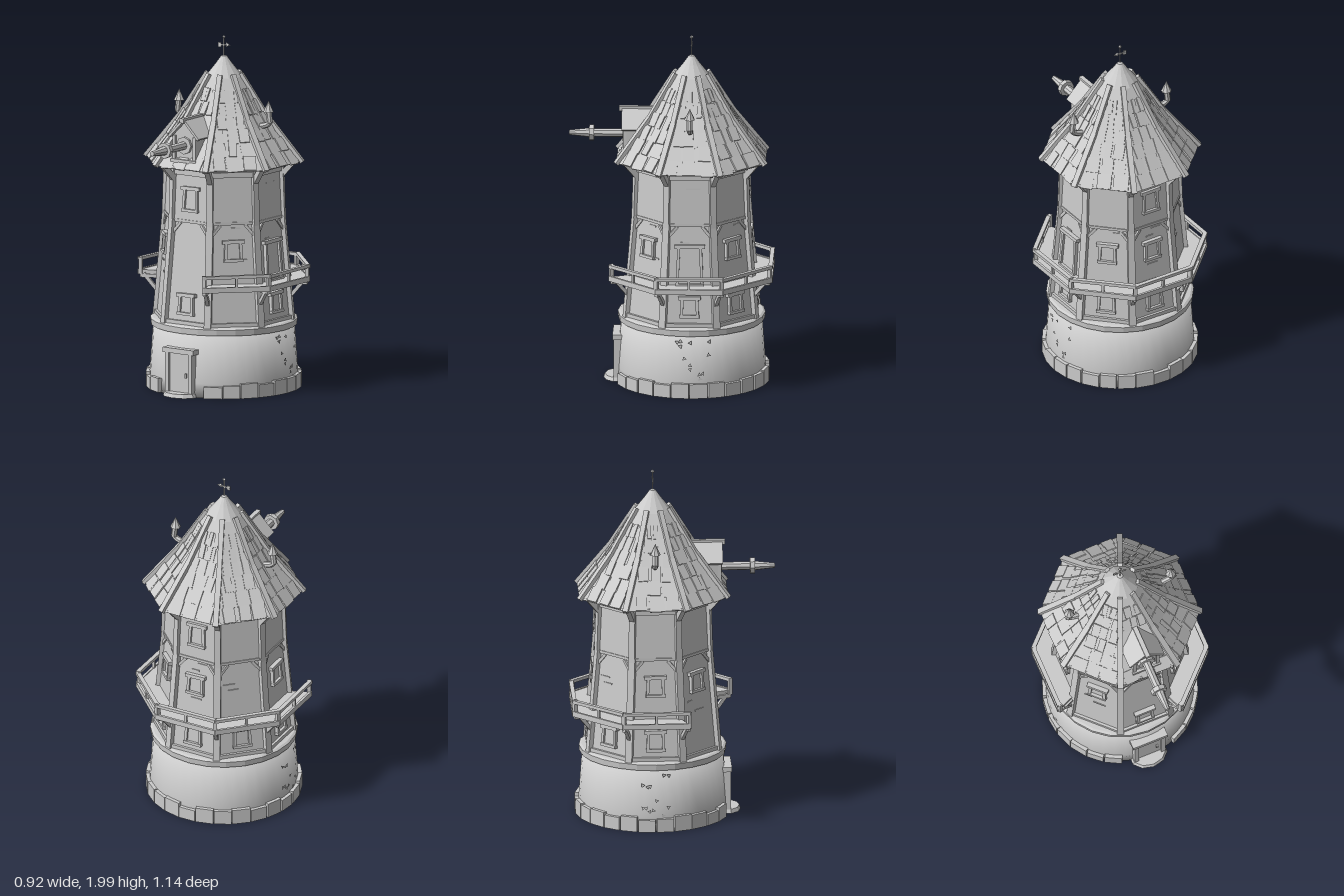
import * as THREE from 'three';

const grey = new THREE.MeshStandardMaterial({ color: 0xcccccc, flatShading: true, side: THREE.DoubleSide });
const smooth = new THREE.MeshStandardMaterial({ color: 0xcccccc, side: THREE.DoubleSide });
const V = (x, y, z) => new THREE.Vector3(x, y, z);
const STEP = Math.PI / 4, TAN = Math.tan(Math.PI / 8), COS = Math.cos(Math.PI / 8);

let seed = 7;
const rnd = (a = 0, b = 1) => {
  seed = (seed * 16807) % 2147483647;
  return a + (b - a) * seed / 2147483647;
};

function add(parent, name, geo, x = 0, y = 0, z = 0, mat = grey) {
  const m = new THREE.Mesh(geo, mat);
  m.name = name;
  m.position.set(x, y, z);
  parent.add(m);
  return m;
}
const box = (parent, name, w, h, d, x, y, z) => add(parent, name, new THREE.BoxGeometry(w, h, d), x, y, z);

// Rectangular timber running from p to q
function beam(parent, name, p, q, w, h = w) {
  const m = box(parent, name, w, h, p.distanceTo(q), 0, 0, 0);
  m.position.copy(p).lerp(q, 0.5);
  m.quaternion.setFromRotationMatrix(new THREE.Matrix4().lookAt(q, p, V(0, 1, 0)));
  return m;
}

// Eight-sided shell from [apothem, y] pairs, a flat side facing front
function octagon(parent, name, profile) {
  const pts = profile.map(([a, y]) => new THREE.Vector2(a / COS, y));
  return add(parent, name, new THREE.LatheGeometry(pts, 8, Math.PI / 8));
}

function turned(parent, name, profile, sides, mat) {
  const pts = profile.map(([r, y]) => new THREE.Vector2(r, y));
  return add(parent, name, new THREE.LatheGeometry(pts, sides), 0, 0, 0, mat);
}

// Group turned to side k of the octagon, local +z pointing outward
function side(parent, name, k) {
  const g = new THREE.Group();
  g.name = name;
  g.rotation.y = k * STEP;
  parent.add(g);
  return g;
}

// Wall distance from the axis at height y
const wall = y => (y < 0.98 ? 0.36 - 0.05 * (y - 0.4) / 0.58 : 0.31 - 0.01 * (y - 0.98) / 0.32);

function framedOpening(parent, name, y, w, h) {
  const g = new THREE.Group();
  g.name = name;
  g.position.set(0, y, wall(y));
  g.rotation.x = -0.07;
  parent.add(g);
  box(g, 'panel', w, h, 0.012, 0, 0, 0);
  for (const s of [-1, 1]) box(g, 'jamb', 0.016, h, 0.03, s * w / 2, 0, 0.004).rotation.z = s * 0.04;
  box(g, 'lintel', w + 0.04, 0.02, 0.036, 0, h / 2, 0.006).rotation.z = 0.02;
  box(g, 'sill', w + 0.025, 0.016, 0.034, 0, -h / 2, 0.006);
}

function buildBase(t) {
  turned(t, 'stoneBase', [[0, 0.01], [0.42, 0.01], [0.415, 0.09], [0.395, 0.37], [0, 0.4]], 40, smooth);
  turned(t, 'baseRim', [[0.39, 0.36], [0.41, 0.363], [0.413, 0.397], [0.4, 0.405], [0.33, 0.41]], 24, grey);
  // Uneven footing stones
  for (let i = 0; i < 26; i++) {
    const a = i / 26 * Math.PI * 2;
    if (Math.cos(a) > 0.96) continue;
    const h = rnd(0.065, 0.09);
    const stone = box(t, 'footingStone', rnd(0.09, 0.105), h, 0.04, Math.sin(a) * 0.414, 0.01 + h / 2, Math.cos(a) * 0.414);
    stone.rotation.y = a;
  }
  // Climbing leaves on both flanks
  for (let i = 0; i < 24; i++) {
    const a = (i % 2 ? 1 : -1) * rnd(1.4, 1.9);
    const leaf = add(t, 'leaf', new THREE.CircleGeometry(0.014, 3), Math.sin(a) * 0.42, rnd(0.08, 0.36), Math.cos(a) * 0.42);
    leaf.rotation.set(rnd(-0.5, 0.5), a, rnd(0, 3));
  }
  // Front door and its step
  box(t, 'doorPanel', 0.14, 0.25, 0.03, 0, 0.14, 0.405);
  for (const s of [-1, 1]) box(t, 'doorPost', 0.025, 0.25, 0.05, s * 0.08, 0.14, 0.41);
  box(t, 'doorLintel', 0.21, 0.028, 0.06, 0, 0.267, 0.41);
  box(t, 'doorHandle', 0.01, 0.025, 0.015, 0.045, 0.13, 0.425);
  const step = add(t, 'doorStep', new THREE.CylinderGeometry(0.1, 0.11, 0.022, 10), 0, 0.021, 0.41);
  step.scale.z = 0.75;
}

function buildTower(t) {
  octagon(t, 'towerWall', [[0.36, 0.39], [0.31, 0.98], [0.316, 0.985], [0.3, 1.36]]);
  const openings = [[0.52, 1.11], [0.83], [0.52], [0.52, 0.83], [0.52, 0.83, 1.14], [0.52], [0.52, 0.83], [0.83]];
  openings.forEach((heights, k) => {
    const f = side(t, 'wallSide', k);
    for (const y of heights) framedOpening(f, 'window', y, 0.085, y > 1 ? 0.125 : 0.105);
    if (k === 2) framedOpening(f, 'balconyDoor', 0.755, 0.13, 0.22);
    // Trim boards and small braces
    box(f, 'sillBeam', 0.29, 0.025, 0.025, 0, 0.415, wall(0.415));
    box(f, 'middleBeam', 0.25, 0.016, 0.02, 0, 0.985, 0.31);
    box(f, 'topBeam', 0.25, 0.03, 0.03, 0, 1.26, 0.302);
    for (const s of [-1, 1]) beam(f, 'brace', V(s * 0.125, 0.91, 0.318), V(s * 0.07, 0.975, 0.312), 0.016);
    for (let i = 0; i < 3; i++) {
      const y = rnd(0.65, 1.2);
      box(f, 'looseBoard', rnd(0.04, 0.08), 0.008, 0.008, rnd(-0.07, 0.07), y, wall(y));
    }
    // Corner post with a flared bracket under the eaves
    const c = side(t, 'cornerPost', k + 0.5);
    beam(c, 'lowerPost', V(0, 0.4, 0.36 / COS), V(0, 0.99, 0.31 / COS), 0.04, 0.03);
    beam(c, 'upperPost', V(0, 0.97, 0.312 / COS), V(0, 1.3, 0.302 / COS), 0.035, 0.03);
    beam(c, 'eaveBracket', V(0, 1.21, 0.325), V(0, 1.305, 0.405), 0.03);
  });
}

function buildBalcony(t) {
  const inner = 0.33, outer = 0.455;
  const plan = new THREE.Shape([[inner, -1], [outer, -1], [outer, 1], [inner, 1]]
    .map(([a, s]) => new THREE.Vector2(s * a * TAN, -a)));
  const deck = new THREE.ExtrudeGeometry(plan, { depth: 0.022, bevelEnabled: false });
  deck.rotateX(-Math.PI / 2);
  for (let k = 1; k <= 6; k++) {
    const f = side(t, 'balconySide', k);
    add(f, 'deck', deck, 0, 0.622, 0);
    box(f, 'deckEdge', outer * 2 * TAN, 0.03, 0.014, 0, 0.634, outer - 0.004);
    beam(f, 'handrail', V(-0.188, 0.704, 0.447), V(0.188, 0.708, 0.447), 0.024, 0.018);
    beam(f, 'railPost', V(0, 0.64, 0.447), V(0, 0.7, 0.447), 0.014);
  }
  for (let k = 0.5; k <= 6.5; k++) {
    const c = side(t, 'balconyCorner', k);
    beam(c, 'railPost', V(0, 0.62, 0.478), V(0, 0.715, 0.478), 0.022);
    beam(c, 'strut', V(0, 0.53, 0.38), V(0, 0.625, 0.46), 0.02);
    beam(c, 'joist', V(0, 0.612, 0.36), V(0, 0.612, 0.48), 0.02);
  }
}

function buildRoof(t) {
  const slope = u => [THREE.MathUtils.lerp(0.41, 0.09, u) - 0.018 * Math.sin(Math.PI * u), 1.3 + 0.48 * u];
  // Overlapping courses of boards, with odd raised shingles
  const rows = 7;
  for (let i = 0; i < rows; i++) {
    const [a0, y0] = slope(i / rows), [a1, y1] = slope((i + 1) / rows);
    octagon(t, 'roofCourse', [[a0 - 0.012, y0 + 0.002], [a0 + 0.003, y0], [a1 - 0.003, y1 + 0.004]]);
    for (let k = 0; k < 8; k++) {
      const f = side(t, 'shingles', k);
      for (let j = 0; j < 3 && i < rows - 1; j++) {
        if (k === 0 && i > 0 && i < 4) continue;
        const x = (j - 1) * a1 * TAN * 0.62 + rnd(-0.01, 0.01), dy = rnd(-0.008, 0.006);
        const b = beam(f, 'shingle', V(x, y0 + dy, a0 + 0.004), V(x, y1 + dy, a1 + 0.004), a1 * TAN * rnd(0.35, 0.6), 0.009);
        b.rotateY(rnd(-0.06, 0.06));
      }
    }
  }
  // Hip timbers and eave boards
  for (let k = 0; k < 8; k++) {
    const c = side(t, 'roofHip', k + 0.5);
    const at = u => V(0, slope(u)[1] + 0.006, slope(u)[0] / COS);
    beam(c, 'lowerHip', at(-0.02), at(0.5), 0.032, 0.022);
    beam(c, 'upperHip', at(0.5), at(1), 0.028, 0.022);
    box(side(t, 'eave', k), 'eaveBoard', 0.33, 0.014, 0.016, 0, 1.302, 0.398);
  }
  turned(t, 'roofCap', [[0.085, 1.768], [0.102, 1.77], [0.05, 1.835], [0.016, 1.882], [0, 1.887]], 14, grey);
  // Weather vane
  beam(t, 'vanePole', V(0, 1.87, 0), V(0, 1.985, 0), 0.006);
  beam(t, 'vaneArm', V(-0.035, 1.94, 0), V(0.035, 1.945, 0), 0.007);
  const head = add(t, 'vanePoint', new THREE.ConeGeometry(0.014, 0.028, 4), 0.03, 1.945, 0);
  head.rotation.z = -Math.PI / 2;
  head.scale.z = 0.4;
  box(t, 'vaneTail', 0.02, 0.026, 0.005, -0.03, 1.941, 0);
  add(t, 'vaneFinial', new THREE.OctahedronGeometry(0.012), 0, 1.988, 0);
}

function buildDormer(t) {
  const gable = new THREE.Shape([[-0.075, 1.335], [0.075, 1.335], [0.08, 1.48], [0, 1.56], [-0.08, 1.48]]
    .map(([x, y]) => new THREE.Vector2(x, y)));
  add(t, 'dormerBody', new THREE.ExtrudeGeometry(gable, { depth: 0.25, bevelEnabled: false }), 0, 0, 0.12);
  for (const s of [-1, 1]) {
    const slab = box(t, 'dormerRoof', 0.145, 0.014, 0.23, s * 0.051, 1.523, 0.275);
    slab.rotation.z = -s * 0.8;
    box(t, 'dormerPost', 0.018, 0.15, 0.02, s * 0.07, 1.405, 0.372);
  }
  beam(t, 'ridgePole', V(0, 1.572, 0.19), V(0, 1.572, 0.405), 0.026);
  box(t, 'dormerSill', 0.17, 0.02, 0.05, 0, 1.338, 0.365);
  // Sail axle, hub and tapered tip
  const axle = new THREE.Group();
  axle.name = 'sailAxle';
  axle.position.set(0, 1.428, 0);
  axle.rotation.x = Math.PI / 2;
  t.add(axle);
  turned(axle, 'bearing', [[0, 0.36], [0.05, 0.36], [0.05, 0.385], [0, 0.385]], 8, grey);
  turned(axle, 'shaft', [[0.024, 0.36], [0.024, 0.545], [0.046, 0.545], [0.046, 0.572], [0.027, 0.572], [0.014, 0.685], [0, 0.685]], 8, grey);
}

function buildChimney(t, s) {
  const g = new THREE.Group();
  g.name = s > 0 ? 'leftChimney' : 'rightChimney';
  t.add(g);
  const path = new THREE.CurvePath();
  const p = [V(s * 0.22, 1.5, 0), V(s * 0.295, 1.52, 0), V(s * 0.318, 1.535, 0), V(s * 0.308, 1.61, 0)];
  for (let i = 0; i < 3; i++) path.add(new THREE.LineCurve3(p[i], p[i + 1]));
  add(g, 'stovePipe', new THREE.TubeGeometry(path, 12, 0.017, 7));
  add(g, 'pipeCap', new THREE.ConeGeometry(0.03, 0.065, 7), s * 0.308, 1.628, 0);
}

export function createModel() {
  const model = new THREE.Group();
  model.name = 'windmillTower';
  const t = new THREE.Group();
  t.name = 'tower';
  t.position.z = -0.115;
  model.add(t);
  buildBase(t);
  buildTower(t);
  buildBalcony(t);
  buildRoof(t);
  buildDormer(t);
  buildChimney(t, 1);
  buildChimney(t, -1);
  return model;
}
